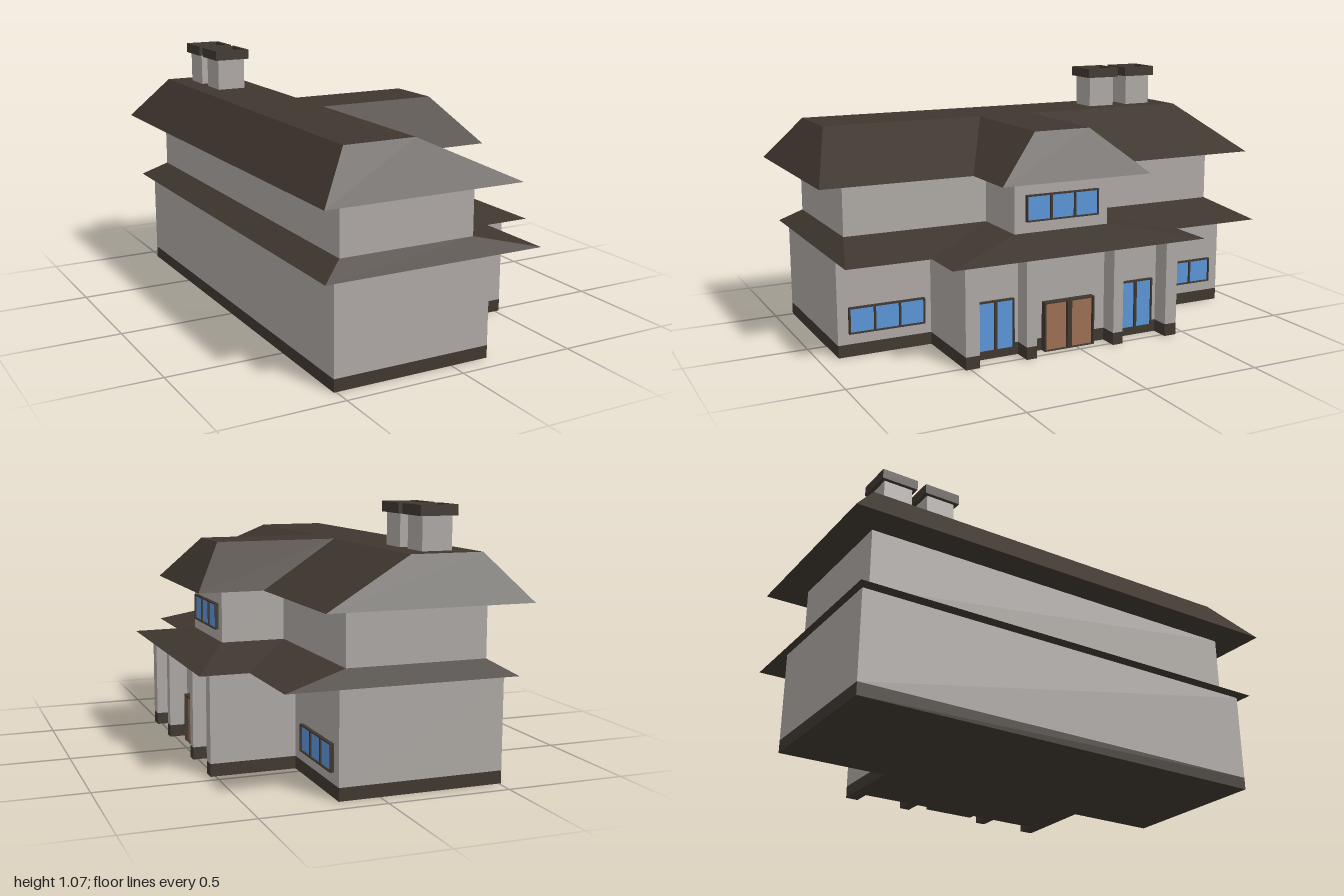
import * as THREE from 'three';

const mat = (name, color, side = THREE.FrontSide) => {
  const m = new THREE.MeshStandardMaterial({ color, side });
  m.name = name;
  return m;
};

export function createModel() {
  const house = new THREE.Group();
  house.name = 'house';
  const wall = mat('grey wall', 0xaca7a3);
  const dark = mat('dark brown roof and trim', 0x3f372f);
  const glass = mat('blue glass', 0x5a94d6);
  const wood = mat('brown wood', 0x9b6e53);

  const add = (name, geometry, material, parent = house) => {
    const m = new THREE.Mesh(geometry, material);
    m.name = name;
    parent.add(m);
    return m;
  };
  const box = (name, x0, x1, y0, y1, z0, z1, material, parent) =>
    add(name, new THREE.BoxGeometry(x1 - x0, y1 - y0, z1 - z0), material, parent)
      .position.set((x0 + x1) / 2, (y0 + y1) / 2, (z0 + z1) / 2);

  // T-shaped plan: long block x0..x1 by z0..z1, wing out to x2 between w0 and w1.
  // notches cuts recesses [zHigh, zLow] into the wing's end, back to x = r.
  const plan = (x0, x1, z0, z1, x2, w0, w1, notches = [], r = 0) => [
    [x0, z1], [x1, z1], [x1, w1], [x2, w1],
    ...notches.flatMap(([a, b]) => [[x2, a], [r, a], [r, b], [x2, b]]),
    [x2, w0], [x1, w0], [x1, z0], [x0, z0],
  ];

  // Upright solid between two matching plans; sloped if they differ
  const loft = (low, high, y0, y1) => {
    const pos = [];
    const tri = (...pts) => pts.forEach((p) => pos.push(...p));
    const lo = low.map(([x, z]) => [x, y0, z]);
    const hi = high.map(([x, z]) => [x, y1, z]);
    lo.forEach((a, i) => {
      const j = (i + 1) % lo.length;
      tri(a, lo[j], hi[j]);
      tri(a, hi[j], hi[i]);
    });
    const cap = (ring, up) => {
      const flat = ring.map(([x, , z]) => new THREE.Vector2(x, -z));
      for (const [a, b, c] of THREE.ShapeUtils.triangulateShape(flat, [])) {
        if (up) tri(ring[a], ring[b], ring[c]);
        else tri(ring[a], ring[c], ring[b]);
      }
    };
    cap(lo, false);
    cap(hi, true);
    const g = new THREE.BufferGeometry();
    g.setAttribute('position', new THREE.Float32BufferAttribute(pos, 3));
    g.computeVertexNormals();
    return g;
  };

  // Ground floor, with pillars left standing between the recesses
  const RECESS = 0.44;
  const ground = plan(-0.51, 0.165, -0.92, 0.92, 0.52, -0.455, 0.52,
    [[0.46, 0.255], [0.21, -0.145], [-0.19, -0.40]], RECESS);
  add('foundation', loft(ground, ground, 0, 0.052), dark);
  add('groundFloorWalls', loft(ground, ground, 0.052, 0.425), wall);

  // Upper floor
  const upper = plan(-0.46, 0.12, -0.87, 0.87, 0.39, -0.185, 0.245);
  add('upperFloorWalls', loft(upper, upper, 0.46, 0.712), wall);

  // Roofs
  const lowerEave = plan(-0.56, 0.385, -0.95, 0.95, 0.585, -0.545, 0.60);
  add('lowerRoof', loft(lowerEave, upper, 0.424, 0.485), dark);
  const upperEave = plan(-0.59, 0.25, -1, 1, 0.522, -0.31, 0.36);
  const ridge = plan(-0.44, -0.14, -0.863, 0.86, 0.382, -0.10, 0.15);
  add('upperRoof', loft(upperEave, ridge, 0.71, 0.894), dark);

  // Framed opening facing +x with n panes standing back inside the frame
  const opening = (name, x, y0, y1, z0, z1, n, fill, depth, edge, gap, sill = edge) => {
    const g = new THREE.Group();
    g.name = name;
    house.add(g);
    const shape = new THREE.Shape([[-z1, y0], [-z0, y0], [-z0, y1], [-z1, y1]]
      .map((p) => new THREE.Vector2(...p)));
    const w = (z1 - z0 - 2 * edge - (n - 1) * gap) / n;
    for (let i = 0; i < n; i++) {
      const a = z0 + edge + i * (w + gap), b = a + w;
      shape.holes.push(new THREE.Path([[-b, y0 + sill], [-b, y1 - edge], [-a, y1 - edge], [-a, y0 + sill]]
        .map((p) => new THREE.Vector2(...p))));
      box(name + 'Pane', x, x + depth * 0.5, y0 + sill, y1 - edge, a, b, fill, g);
    }
    const frame = new THREE.ExtrudeGeometry(shape, { depth, bevelEnabled: false });
    frame.rotateY(Math.PI / 2);
    frame.translate(x, 0, 0);
    add(name + 'Frame', frame, dark, g);
  };

  opening('leftWindow', 0.165, 0.097, 0.207, 0.55, 0.875, 3, glass, 0.015, 0.006, 0.008);
  opening('rightWindow', 0.165, 0.097, 0.207, -0.87, -0.545, 3, glass, 0.015, 0.006, 0.008);
  opening('upperWindow', 0.39, 0.532, 0.642, -0.137, 0.195, 3, glass, 0.015, 0.006, 0.008);
  opening('leftTallWindow', RECESS, 0.032, 0.242, 0.277, 0.442, 2, glass, 0.015, 0.006, 0.012);
  opening('rightTallWindow', RECESS, 0.032, 0.242, -0.375, -0.21, 2, glass, 0.015, 0.006, 0.012);
  opening('frontDoor', RECESS, 0, 0.207, -0.083, 0.147, 2, wood, 0.03, 0.006, 0.02, 0.002);

  // Chimneys with hollow caps
  for (const z of [-0.517, -0.713]) {
    const g = new THREE.Group();
    g.name = 'chimney';
    house.add(g);
    box('chimneyStack', -0.353, -0.227, 0.88, 1.03, z - 0.063, z + 0.063, wall, g);
    box('chimneyCapFloor', -0.36, -0.22, 1.028, 1.04, z - 0.07, z + 0.07, dark, g);
    for (const s of [-1, 1]) {
      box('chimneyCapSide', -0.29 + s * 0.071 - 0.008, -0.29 + s * 0.071 + 0.008,
        1.028, 1.07, z - 0.079, z + 0.079, dark, g);
      box('chimneyCapEnd', -0.353, -0.227, 1.028, 1.07,
        z + s * 0.071 - 0.008, z + s * 0.071 + 0.008, dark, g);
    }
  }
  return house;
}
